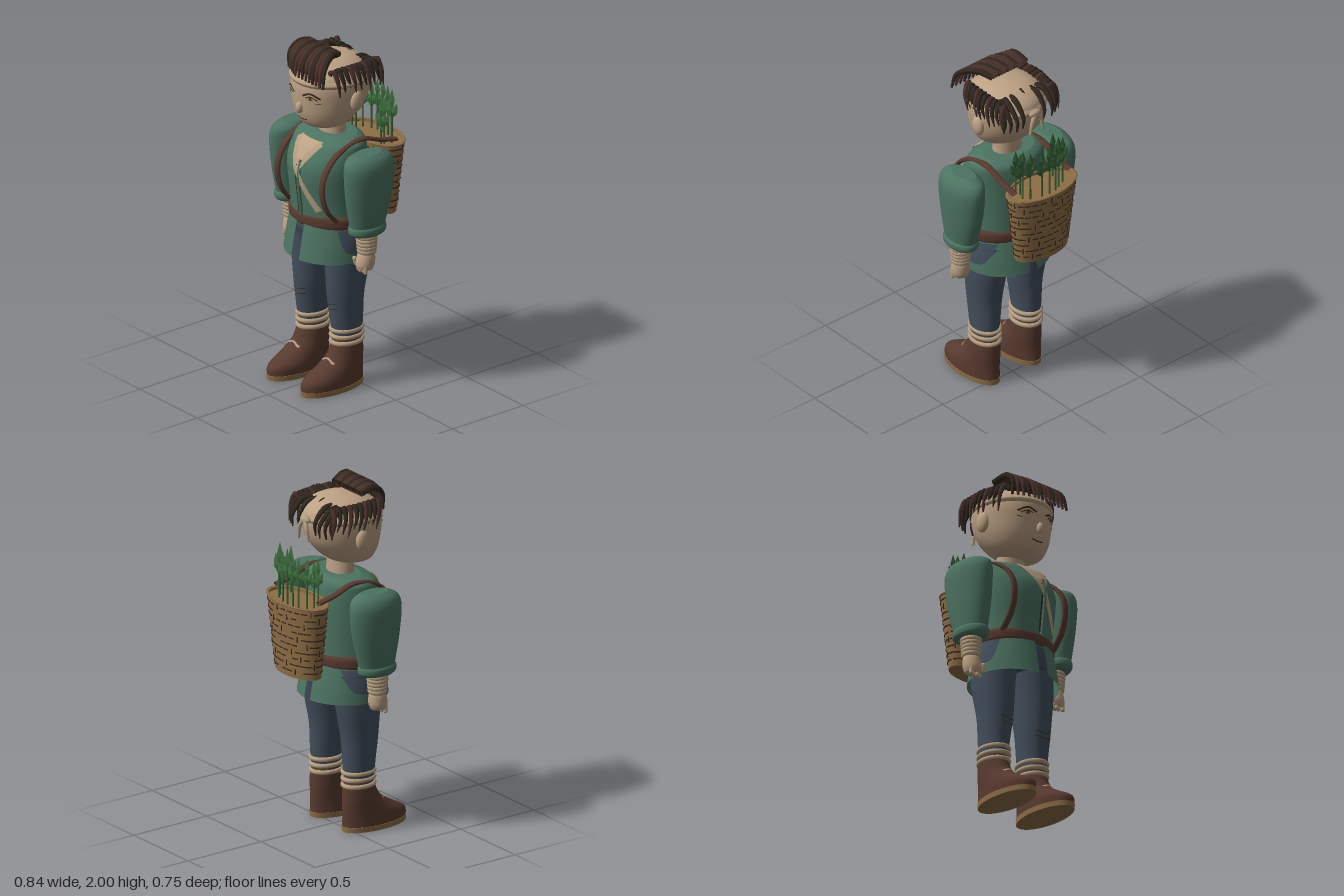
import * as THREE from 'three';
import { mergeGeometries } from 'three/addons/utils/BufferGeometryUtils.js';

const V = (x, y, z) => new THREE.Vector3(x, y, z);
const paint = (name, color) => Object.assign(new THREE.MeshStandardMaterial({ color, side: THREE.DoubleSide }), { name });

// A ring is [y, halfWidth, halfDepth, centreX, centreZ]; smooth() resamples a stack of them
function smooth(rings, k = 5) {
  const out = [], get = i => rings[Math.max(0, Math.min(rings.length - 1, i))];
  for (let i = 0; i < rings.length - 1; i++) for (let j = 0; j < k; j++) {
    const t = j / k;
    out.push(get(i).map((p, c) => {
      const m0 = (get(i + 1)[c] - get(i - 1)[c]) / 2, m1 = (get(i + 2)[c] - p) / 2, q = get(i + 1)[c];
      const t2 = t * t, t3 = t2 * t;
      return (2 * t3 - 3 * t2 + 1) * p + (t3 - 2 * t2 + t) * m0 + (3 * t2 - 2 * t3) * q + (t3 - t2) * m1;
    }));
  }
  out.push(rings[rings.length - 1]);
  return out;
}
const around = (r, a) => V(r[3] + r[1] * Math.sin(a), r[0], r[4] + r[2] * Math.cos(a));

// Skin over rings; a0 and a1 give the angular span (0 = front) at height t
function loft(rings, { a0 = () => 0, a1 = () => 2 * Math.PI, n = 32, caps = true } = {}) {
  const pos = [], idx = [], m = n + 1;
  rings.forEach((r, j) => {
    const t = j / (rings.length - 1);
    for (let i = 0; i <= n; i++) pos.push(...around(r, a0(t) + (a1(t) - a0(t)) * i / n).toArray());
  });
  for (let j = 0; j < rings.length - 1; j++) for (let i = 0; i < n; i++) {
    const a = j * m + i;
    idx.push(a, a + 1, a + m, a + 1, a + m + 1, a + m);
  }
  if (caps) for (const top of [0, 1]) {
    const r = rings[top ? rings.length - 1 : 0], c = pos.length / 3;
    pos.push(r[3], r[0], r[4]);
    for (let i = 0; i <= n; i++) pos.push(...around(r, 2 * Math.PI * i / n).toArray());
    for (let i = 1; i <= n; i++) idx.push(c, top ? c + i : c + i + 1, top ? c + i + 1 : c + i);
  }
  const g = new THREE.BufferGeometry();
  g.setAttribute('position', new THREE.Float32BufferAttribute(pos, 3));
  g.setIndex(idx);
  g.computeVertexNormals();
  return g;
}

// Point on the front of a ring stack
function frontZ(rings, x, y) {
  let i = 0;
  while (i < rings.length - 2 && rings[i + 1][0] < y) i++;
  const p = rings[i], q = rings[i + 1], t = THREE.MathUtils.clamp((y - p[0]) / (q[0] - p[0]), 0, 1);
  const [, rx, rz, cx, cz] = p.map((v, c) => v + (q[c] - v) * t);
  return cz + rz * Math.sqrt(Math.max(0, 1 - ((x - cx) / rx) ** 2));
}

// Thin band laid on the front of a ring stack, along [x, y] points
function band(rings, path, w0, w1 = w0, lift = 0.005) {
  const curve = new THREE.CatmullRomCurve3(path.map(([x, y]) => V(x, y, 0)));
  const g = new THREE.PlaneGeometry(1, 1, 6, 16), p = g.attributes.position;
  for (let i = 0; i < p.count; i++) {
    const u = p.getX(i), t = p.getY(i) + 0.5, c = curve.getPoint(t), d = curve.getTangent(t), w = w0 + (w1 - w0) * t;
    const x = c.x + d.y * u * w, y = c.y - d.x * u * w;
    p.setXYZ(i, x, y, frontZ(rings, x, y) + lift);
  }
  g.computeVertexNormals();
  return g;
}

// Tube that narrows from r0 to r1
function strand(points, r0, r1, seg = 12) {
  const curve = new THREE.CatmullRomCurve3(points), g = new THREE.TubeGeometry(curve, seg, r0, 7), p = g.attributes.position;
  for (let i = 0; i < p.count; i++) {
    const t = Math.floor(i / 8) / seg, c = curve.getPointAt(t);
    const v = V(0, 0, 0).fromBufferAttribute(p, i).sub(c).multiplyScalar(1 + (r1 / r0 - 1) * t * t).add(c);
    p.setXYZ(i, v.x, v.y, v.z);
  }
  return g;
}
const ball = (x, y, z, rx, ry, rz) => new THREE.SphereGeometry(1, 20, 14).scale(rx, ry, rz).translate(x, y, z);
const hoop = (r, x, y, z, sx, sz) => new THREE.TorusGeometry(1, r, 8, 28).rotateX(Math.PI / 2).scale(sx, 0.08, sz).translate(x, y, z);

export function createModel() {
  const root = new THREE.Group();
  root.name = 'traveller';
  const skin = paint('skin', 0xbca184), cloth = paint('greenCloth', 0x4c7361), denim = paint('blueTrousers', 0x434f5d),
    leather = paint('brownLeather', 0x583a2f), wrap = paint('paleWrap', 0xb29c7f), straw = paint('straw', 0x8e6e46),
    dark = paint('darkLine', 0x3c2a1c), hair = paint('brownHair', 0x48302a), hairDark = paint('darkHair', 0x31271f), leaf = paint('leafGreen', 0x3b683a);
  const add = (name, geo, mat) => {
    const m = new THREE.Mesh(Array.isArray(geo) ? mergeGeometries(geo) : geo, mat);
    m.name = name;
    root.add(m);
    return m;
  };

  // Head and face
  const head = smooth([[1.535, 0.08, 0.08, 0, 0.11], [1.56, 0.14, 0.13, 0, 0.1], [1.62, 0.18, 0.18, 0, 0.08], [1.7, 0.205, 0.215, 0, 0.06],
    [1.8, 0.215, 0.23, 0, 0.05], [1.87, 0.19, 0.205, 0, 0.045], [1.92, 0.11, 0.12, 0, 0.04], [1.937, 0.01, 0.01, 0, 0.04]]);
  add('head', loft(head, { n: 40 }), skin);
  add('neck', new THREE.CylinderGeometry(0.085, 0.09, 0.16, 24).scale(1, 1, 0.8).translate(0, 1.52, 0.045), skin);
  add('nose', ball(0, 1.67, 0.275, 0.022, 0.034, 0.022), skin);
  add('mouth', band(head, [[-0.04, 1.602], [0, 1.597], [0.04, 1.602]], 0.006), dark);
  for (const s of [-1, 1]) {
    add('ear', ball(s * 0.212, 1.715, 0.04, 0.026, 0.06, 0.042), skin);
    add('eyebrow', band(head, [[s * 0.035, 1.755], [s * 0.085, 1.775], [s * 0.135, 1.75]], 0.011), dark);
    add('eyelid', band(head, [[s * 0.055, 1.745], [s * 0.085, 1.757], [s * 0.12, 1.74]], 0.006), dark);
    add('iris', band(head, [[s * 0.085, 1.733], [s * 0.085, 1.755]], 0.024), straw);
    add('pupil', band(head, [[s * 0.085, 1.738], [s * 0.085, 1.752]], 0.01, 0.01, 0.008), dark);
    add('lowerLid', band(head, [[s * 0.11, 1.715], [s * 0.135, 1.72]], 0.004), dark);
  }

  // Headband with a knot and two tails behind
  add('headband', loft(smooth([[1.808, 0.214, 0.229, 0, 0.05], [1.827, 0.224, 0.239, 0, 0.05], [1.846, 0.21, 0.225, 0, 0.05]])), wrap);
  add('headbandKnot', ball(0, 1.827, -0.195, 0.04, 0.022, 0.02), wrap);
  for (const s of [-1, 1])
    add('headbandTail', strand([V(0, 1.83, -0.2), V(s * 0.03, 1.79, -0.21), V(s * 0.045, 1.71, -0.208)], 0.013, 0.008), wrap);

  // Hair: swept fringe, side locks and back locks
  for (let i = 0; i < 13; i++) {
    const t = i / 12;
    add('fringeLock', strand([V(-0.155 + 0.24 * t, 1.965, 0.07), V(-0.15 + 0.28 * t, 1.982, 0.16),
      V(-0.155 + 0.34 * t, 1.94, 0.215 + 0.035 * Math.min(1, 3 * t)), V(-0.16 + 0.365 * t, 1.845, 0.22 + 0.055 * Math.min(1, 3 * t))], 0.019, 0.007), i % 3 ? hair : hairDark);
  }
  for (const s of [-1, 1]) {
    for (let i = 0; i < 10; i++) {
      const z = 0.175 - i * 0.034, e = 0.025 * Math.abs(i - 4.5) / 4.5;
      add('sideLock', strand([V(s * 0.155, 1.895, z + 0.01), V(s * (0.195 - e), 1.915, z), V(s * (0.224 - e), 1.86, z - 0.01),
        V(s * (0.222 - e), 1.755 + (i % 3) * 0.02, z - 0.03)], 0.016, 0.003), i % 3 ? hairDark : hair);
    }
    [[0.075, 0.09], [0.125, 0.07], [0.16, 0.11], [0.185, 0.17]].forEach(([x, w]) =>
      add('backLock', strand([V(s * x * 0.9, 1.9, -0.065), V(s * x, 1.895, -0.12), V(s * x, 1.82, -0.215 + w * 0.35), V(s * x, 1.75, -0.215 + w * 0.4)], 0.018, 0.004), hairDark));
  }
  add('crownLock', strand([V(0, 1.91, -0.06), V(0, 1.9, -0.09), V(0, 1.87, -0.13)], 0.018, 0.01), hairDark);

  // Tunic, neckline, lapels and belt
  const torso = smooth([[0.96, 0.228, 0.195, 0, 0.065], [1.1, 0.226, 0.202, 0, 0.07], [1.3, 0.236, 0.21, 0, 0.08],
    [1.41, 0.236, 0.18, 0, 0.06], [1.455, 0.222, 0.15, 0, 0.045], [1.482, 0.165, 0.1, 0, 0.03]]);
  add('tunic', loft(torso, { n: 40 }), cloth);
  add('chest', band(torso, [[0.01, 1.3], [0, 1.38], [0, 1.46]], 0.01, 0.18), skin);
  add('longLapel', band(torso, [[-0.09, 1.455], [0.02, 1.26], [0.13, 1.075]], 0.036, 0.036, 0.009), wrap);
  add('shortLapel', band(torso, [[0.09, 1.455], [0.05, 1.385], [0, 1.3]], 0.034, 0.034, 0.007), wrap);
  add('placket', strand([V(0.014, 1.36, 0.275), V(0.014, 1.25, 0.293), V(0.014, 1.03, 0.272)], 0.012, 0.01), cloth);
  add('placketSeam', band(torso, [[-0.004, 1.33], [-0.004, 1.04]], 0.012, 0.012, 0.008), dark);
  add('belt', loft(smooth([[0.965, 0.238, 0.198, 0, 0.065], [0.98, 0.246, 0.205, 0, 0.065], [1.02, 0.246, 0.205, 0, 0.065], [1.037, 0.236, 0.196, 0, 0.065]])), leather);

  // Split skirt over the hips
  const skirt = smooth([[0.77, 0.262, 0.247, 0, 0.062], [0.87, 0.254, 0.228, 0, 0.063], [0.98, 0.236, 0.203, 0, 0.065]]);
  add('hips', loft(smooth([[0.87, 0.22, 0.17, 0, 0.06], [0.93, 0.228, 0.19, 0, 0.062], [0.99, 0.22, 0.19, 0, 0.065]])), denim);
  const patch = smooth([[0.825, 0.264, 0.243, 0, 0.062], [0.89, 0.258, 0.23, 0, 0.063], [0.965, 0.245, 0.212, 0, 0.065]]);
  for (const s of [-1, 1]) {
    add('skirtPanel', loft(skirt, { a0: () => s > 0 ? 0.13 : 0.1 - Math.PI, a1: () => s > 0 ? Math.PI - 0.1 : -0.13, caps: false }), cloth);
    const near = t => 1.35 - 0.33 * Math.sqrt(t), far = t => 1.75 + 0.6 * Math.sqrt(t);
    add('hipPatch', loft(patch, { a0: t => s > 0 ? near(t) : -far(t), a1: t => s > 0 ? far(t) : -near(t), caps: false }), denim);
  }

  for (const s of [-1, 1]) {
    const side = rings => smooth(rings.map(([y, rx, rz, x, z]) => [y, rx, rz, s * x, z]));
    // Puffed sleeve, cuff, wrist wraps and hand
    add('sleeve', loft(side([[0.975, 0.07, 0.105, 0.32, 0.057], [1.03, 0.076, 0.115, 0.322, 0.055], [1.18, 0.089, 0.148, 0.324, 0.048],
      [1.34, 0.095, 0.164, 0.326, 0.045], [1.41, 0.084, 0.148, 0.318, 0.045], [1.442, 0.05, 0.09, 0.312, 0.045]])), cloth);
    add('cuff', loft(side([[0.965, 0.07, 0.1, 0.322, 0.057], [0.98, 0.081, 0.117, 0.322, 0.057], [1.008, 0.082, 0.118, 0.322, 0.057], [1.025, 0.07, 0.105, 0.322, 0.057]])), cloth);
    add('forearm', new THREE.CylinderGeometry(0.05, 0.045, 0.14, 20).translate(s * 0.322, 0.91, 0.06), skin);
    for (let i = 0; i < 5; i++) add('wristWrap', hoop(0.17, s * 0.322, 0.95 - i * 0.022, 0.06, 0.053 - i * 0.0015, 0.054 - i * 0.0015), wrap);
    add('hand', loft(side([[0.755, 0.046, 0.045, 0.316, 0.07], [0.785, 0.053, 0.054, 0.318, 0.067], [0.83, 0.05, 0.05, 0.32, 0.062], [0.86, 0.04, 0.04, 0.322, 0.06]])), skin);
    for (let i = 0; i < 4; i++)
      add('finger', new THREE.CapsuleGeometry(0.012, 0.03, 4, 8).translate(s * (0.283 + i * 0.023), 0.757, 0.085 + (i % 2) * 0.008), skin);
    add('thumb', new THREE.CapsuleGeometry(0.013, 0.035, 4, 8).rotateX(0.3).translate(s * 0.272, 0.79, 0.1), skin);

    // Trouser leg with knee creases
    const leg = side([[0.3, 0.072, 0.09, 0.15, 0.06], [0.4, 0.078, 0.1, 0.148, 0.062], [0.55, 0.092, 0.112, 0.145, 0.067], [0.75, 0.11, 0.136, 0.146, 0.055], [0.93, 0.115, 0.15, 0.135, 0.055]]);
    add('leg', loft(leg), denim);
    for (const y of [0.485, 0.515])
      add('kneeCrease', band(leg, [[s * 0.09, y], [s * 0.13, y - 0.013], [s * 0.19, y]], 0.006, 0.003), dark);
    for (let i = 0; i < 3; i++) add('ankleWrap', hoop(0.17, s * 0.147, 0.342 - i * 0.038, 0.06, 0.073, 0.092), wrap);

    // Boot, sole and lace
    const boot = side([[0.025, 0.095, 0.207, 0.148, 0.165], [0.075, 0.094, 0.202, 0.148, 0.162], [0.125, 0.088, 0.158, 0.148, 0.119],
      [0.18, 0.082, 0.118, 0.148, 0.078], [0.25, 0.076, 0.098, 0.148, 0.06], [0.29, 0.07, 0.09, 0.148, 0.06]]);
    add('boot', loft(boot), leather);
    add('sole', loft(side([[0, 0.096, 0.208, 0.148, 0.165], [0.03, 0.098, 0.21, 0.148, 0.165]])), straw);
    add('bootLace', band(boot, [[s * 0.1, 0.165], [s * 0.15, 0.185], [s * 0.2, 0.165]], 0.008), wrap);

    // Carrying strap from the basket over the shoulder to the belt
    const strap = new THREE.CatmullRomCurve3([V(0, 1.4, -0.25), V(0, 1.425, -0.14), V(0, 1.465, -0.02), V(0, 1.45, 0.1), V(0, 1.39, 0.2),
      V(0, 1.3, 0.262), V(0, 1.2, 0.272), V(0, 1.1, 0.24), V(0, 1.02, 0.175)]);
    add('carryStrap', new THREE.TubeGeometry(strap, 40, 0.012, 8).scale(1.8, 1, 1).translate(s * 0.195, 0, 0), leather);
  }

  // Woven basket
  const basket = [[0.945, 0.176, 0.09, 0, -0.243], [1.38, 0.228, 0.123, 0, -0.248]];
  add('basket', loft(basket, { n: 40, caps: false }), straw);
  add('basketFloor', loft([basket[0], [0.95, 0.176, 0.09, 0, -0.243]], { n: 40 }), straw);
  add('basketFill', loft([[1.34, 0.222, 0.119, 0, -0.248], [1.355, 0.224, 0.12, 0, -0.248]], { n: 40 }), straw);
  add('basketRim', hoop(0.06, 0, 1.375, -0.248, 0.224, 0.12), straw);
  const weave = [];
  for (let row = 0; row < 10; row++) for (let col = 0; col < 26; col++) {
    if ((row * 7 + col * 5 + row * col) % 4 === 0) continue;
    const y = 0.985 + row * 0.04, t = (y - 0.945) / 0.435, a = (col + (row % 2) / 2) / 26 * 2 * Math.PI;
    const r = basket[0].map((v, c) => v + (basket[1][c] - v) * t), p = around(r, a);
    const turn = Math.atan2(Math.sin(a) / r[1], Math.cos(a) / r[2]), upright = (row + col * 3) % 5 === 0;
    weave.push(new THREE.BoxGeometry(upright ? 0.007 : 0.034, upright ? 0.034 : 0.007, 0.006).rotateY(turn).translate(p.x, p.y, p.z));
  }
  add('basketWeave', weave, dark);

  // Leafy plants standing in the basket
  [[-0.127, -0.277], [-0.134, -0.234], [-0.123, -0.198], [-0.08, -0.3], [-0.045, -0.314], [0, -0.318],
    [0.05, -0.311], [0.115, -0.289], [0.145, -0.26], [0.13, -0.22], [0.138, -0.19]].forEach(([x, z], i) => {
    const h = 1.5 + (z < -0.25 ? 0.03 : 0) + (i % 3) * 0.008;
    add('plantStem', new THREE.CylinderGeometry(0.005, 0.006, h - 1.34, 6).translate(x, (h + 1.34) / 2, z), leaf);
    const leaves = [[0, 0.01, 0.13], [-0.4, -0.03, 0.1], [0.4, -0.03, 0.1]].map(([tilt, dy, len]) =>
      new THREE.OctahedronGeometry(1).scale(0.023, len / 2, 0.01).translate(0, len / 2, 0).rotateZ(tilt).translate(x, h - 0.015 + dy, z + tilt * 0.01));
    add('plantLeaves', leaves, leaf);
  });
  return root;
}
